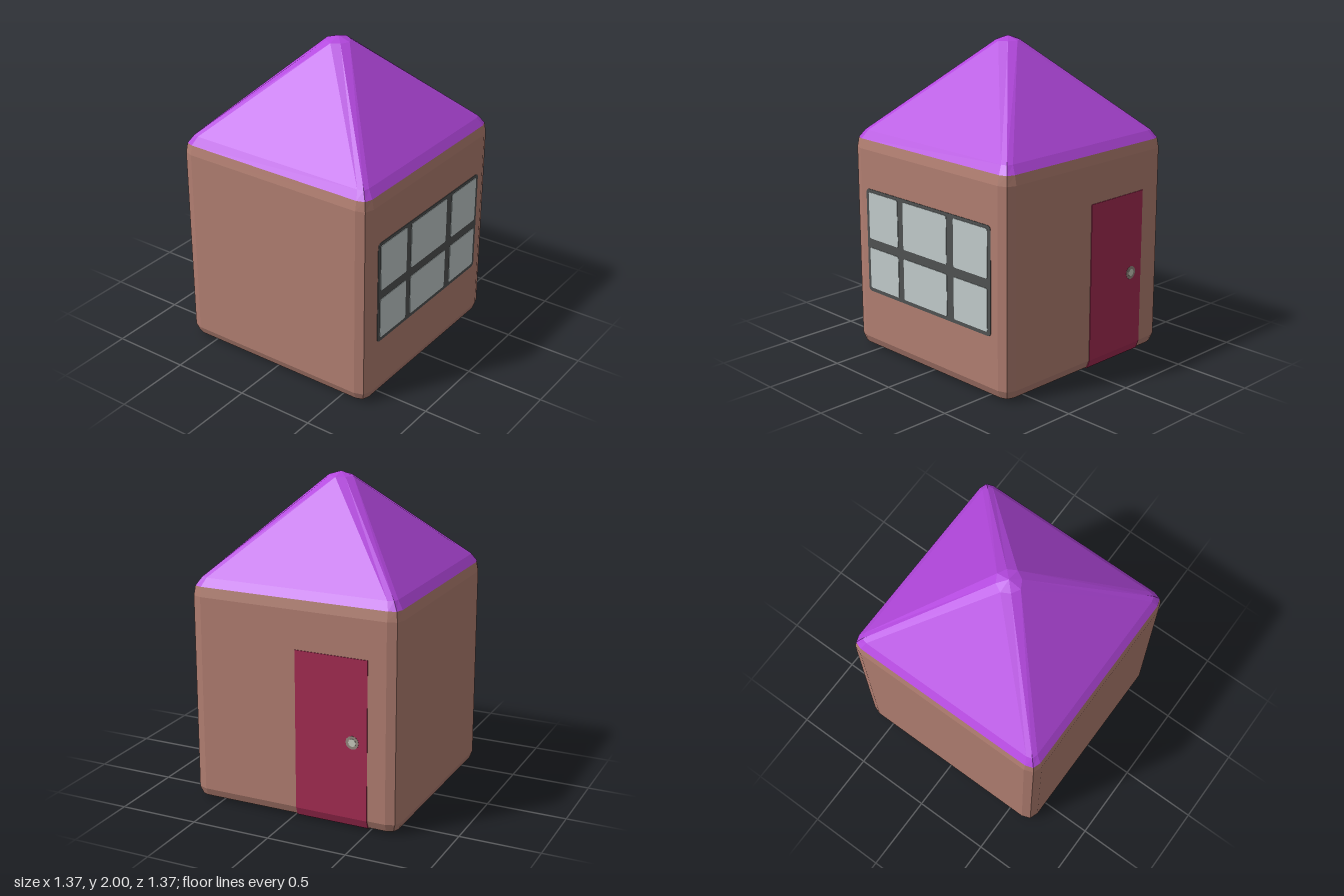
import * as THREE from 'three';

const material = (name, color) => {
  const m = new THREE.MeshStandardMaterial({ color });
  m.name = name;
  return m;
};

// One level of the house: four-cornered ring with a two-facet bevel on each corner.
// h = half width, t = half length of the flat side, m = middle of the bevel.
function ring([y, h, t, m]) {
  const points = [];
  for (let k = 0; k < 4; k++) {
    for (let [u, v] of [[h, t], [m, m], [t, h]]) {
      for (let i = 0; i < k; i++) [u, v] = [-v, u];
      points.push(new THREE.Vector3(u, y, -v));
    }
  }
  return points;
}

// Faceted skin through a stack of rings, listed from the bottom up.
function loft(levels) {
  const rings = levels.map(ring);
  const positions = [];
  const addTriangle = (a, b, c) => {
    if (new THREE.Triangle(a, b, c).getArea() < 1e-7) return;
    for (const p of [a, b, c]) positions.push(p.x, p.y, p.z);
  };
  for (let r = 0; r < rings.length - 1; r++) {
    const low = rings[r], high = rings[r + 1];
    for (let i = 0; i < 12; i++) {
      const j = (i + 1) % 12;
      addTriangle(low[i], low[j], high[j]);
      addTriangle(low[i], high[j], high[i]);
    }
  }
  const geometry = new THREE.BufferGeometry();
  geometry.setAttribute('position', new THREE.Float32BufferAttribute(positions, 3));
  geometry.computeVertexNormals();
  return geometry;
}

// Thin plate with rounded corners on the +x wall, spanning z0..z1 and y0..y1.
function wallPlate(z0, z1, y0, y1, radius, x, depth) {
  const w = (z1 - z0) / 2, h = (y1 - y0) / 2;
  const shape = new THREE.Shape();
  const corners = [[w, h, 0], [-w, h, 1], [-w, -h, 2], [w, -h, 3]];
  for (const [cx, cy, q] of corners) {
    const px = cx - Math.sign(cx) * radius, py = cy - Math.sign(cy) * radius;
    shape.absarc(px, py, radius, q * Math.PI / 2, (q + 1) * Math.PI / 2, false);
  }
  const geometry = new THREE.ExtrudeGeometry(shape, { depth, bevelEnabled: false, curveSegments: 3 });
  geometry.rotateY(Math.PI / 2);
  geometry.translate(x, (y0 + y1) / 2, (z0 + z1) / 2);
  return geometry;
}

export function createModel() {
  const brick = material('brick brown', 0xb17e71);
  const purple = material('roof purple', 0xb347de);
  const red = material('door red', 0xa32b52);
  const grey = material('frame grey', 0x4f5252);
  const glass = material('pane pale grey', 0xc1cbcb);
  const rim = material('knob rim', 0x94867e);
  const metal = material('knob metal', 0xc8cabd);

  const house = new THREE.Group();
  house.name = 'house';
  const add = (name, geometry, mat, parent = house) => {
    const mesh = new THREE.Mesh(geometry, mat);
    mesh.name = name;
    parent.add(mesh);
    return mesh;
  };

  // Walls with bevelled base and top edge
  const eaves = [1.365, 0.668, 0.605, 0.652];
  add('walls', loft([
    [0, 0, 0, 0],
    [0, 0.61, 0.61, 0.61],
    [0.02, 0.66, 0.605, 0.645],
    [0.07, 0.68, 0.605, 0.66],
    [1.305, 0.68, 0.605, 0.66],
    eaves,
  ]), brick);

  // Hipped roof with bevelled ridges
  add('roof', loft([
    eaves,
    [1.415, 0.632, 0.585, 0.622],
    [1.973, 0.082, 0, 0.053],
    [2, 0, 0, 0],
  ]), purple);

  // Window on the left wall: dark frame with six panes
  const windowGroup = new THREE.Group();
  windowGroup.name = 'window';
  house.add(windowGroup);
  add('windowFrame', wallPlate(-0.55, 0.555, 0.39, 1.06, 0.025, 0.679, 0.004), grey, windowGroup);
  for (const [z0, z1] of [[0.26, 0.53], [-0.18, 0.21], [-0.525, -0.24]]) {
    for (const [y0, y1] of [[0.415, 0.68], [0.74, 1.04]]) {
      add('windowPane', wallPlate(z0, z1, y0, y1, 0.012, 0.68, 0.006), glass, windowGroup);
    }
  }

  // Door on the back wall, following the bevel at the base
  const profile = [[0.64, 0.008], [0.664, 0.016], [0.684, 0.069], [0.684, 1.065],
    [0.678, 1.065], [0.678, 0.07], [0.658, 0.02]];
  const door = new THREE.ExtrudeGeometry(
    new THREE.Shape(profile.map(([x, y]) => new THREE.Vector2(x, y))),
    { depth: 0.465, bevelEnabled: false });
  door.rotateY(Math.PI / 2);
  door.translate(-0.49, 0, 0);
  add('door', door, red);

  // Flat door knob
  for (const [name, radius, depth, mat] of [
    ['knobRim', 0.042, 0.005, rim], ['knobCentre', 0.024, 0.008, metal]]) {
    const disc = new THREE.CylinderGeometry(radius, radius, depth, 12);
    disc.rotateX(Math.PI / 2);
    add(name, disc, mat).position.set(-0.395, 0.55, -0.683);
  }

  return house;
}
